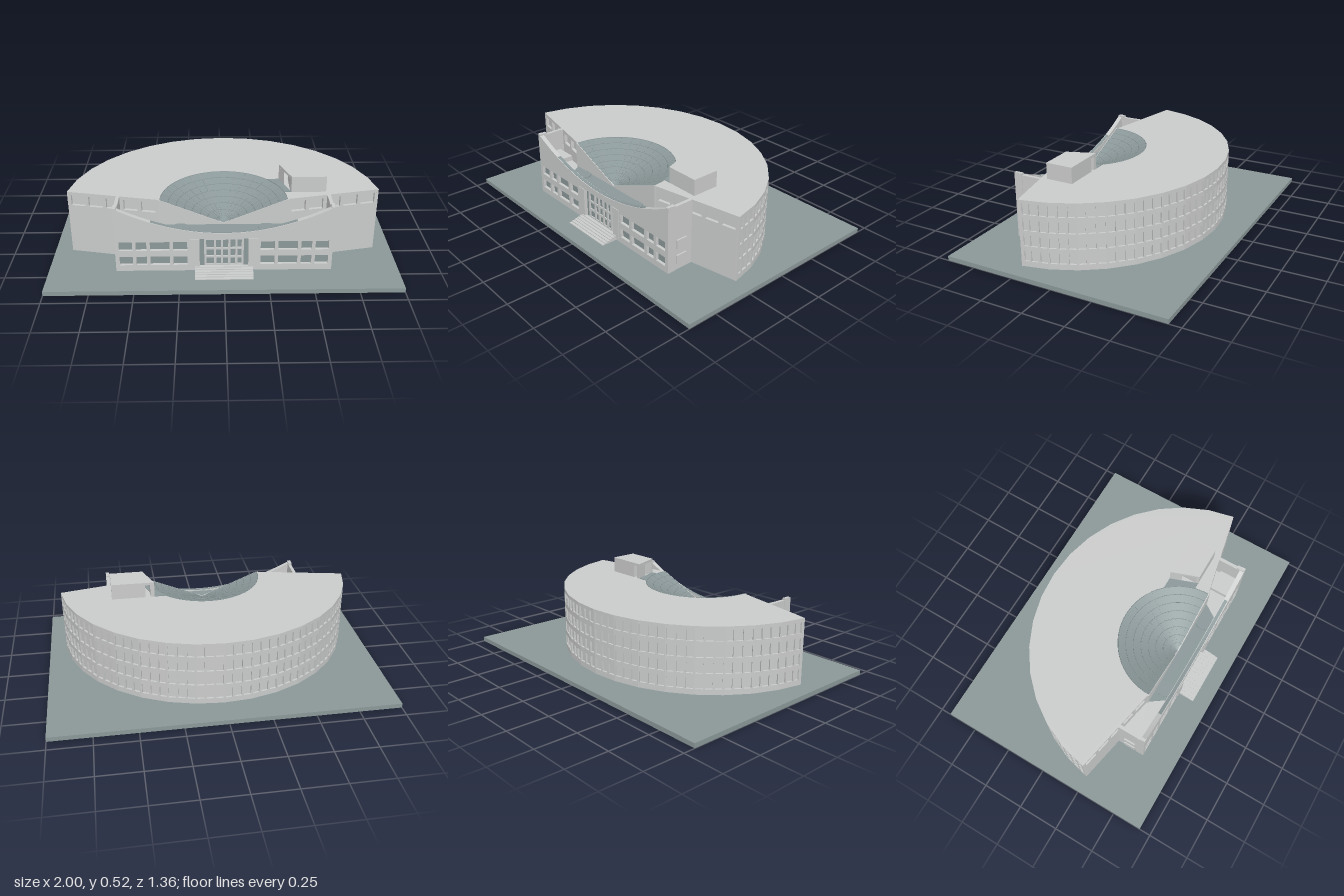
import * as THREE from 'three';

const wall = new THREE.MeshStandardMaterial({ color: 0xcacccb });
wall.name = 'pale concrete';
const glass = new THREE.MeshStandardMaterial({ color: 0x8b9899, side: THREE.DoubleSide });
glass.name = 'grey glass';
const ground = new THREE.MeshStandardMaterial({ color: 0x8b9898 });
ground.name = 'grey plinth';

const BASE = 0.027, ROOF = 0.42, CZ = 0.36, CONE_R = 0.36;

export function createModel() {
  const model = new THREE.Group();
  model.name = 'building';

  const add = (name, geo, mat, x = 0, y = 0, z = 0, parent = model) => {
    const m = new THREE.Mesh(geo, mat);
    m.name = name;
    m.position.set(x, y, z);
    parent.add(m);
    return m;
  };
  // box given by its limits
  const box = (name, mat, x0, x1, y0, y1, z0, z1) =>
    add(name, new THREE.BoxGeometry(x1 - x0, y1 - y0, z1 - z0), mat, (x0 + x1) / 2, (y0 + y1) / 2, (z0 + z1) / 2);
  const shapeOf = (pts) => new THREE.Shape(pts.map(([x, y]) => new THREE.Vector2(x, y)));
  const extrude = (shape, depth) => new THREE.ExtrudeGeometry(shape, { depth, bevelEnabled: false });
  // prism over a plan outline of [x, z] points
  const prism = (name, mat, plan, y0, y1) => {
    const geo = extrude(shapeOf(plan.map(([x, z]) => [x, -z])), y1 - y0);
    geo.rotateX(-Math.PI / 2);
    return add(name, geo, mat, 0, y0, 0);
  };
  const cutRect = (shape, x0, x1, y0, y1) => {
    const p = [[x0, y0], [x0, y1], [x1, y1], [x1, y0]];
    shape.holes.push(new THREE.Path(p.map(([x, y]) => new THREE.Vector2(x, y))));
  };
  // upright wall panel from plan point a to b with rectangular window openings
  const panel = (name, a, b, depth, windows) => {
    const dx = b[0] - a[0], dz = b[1] - a[1], len = Math.hypot(dx, dz);
    const s = shapeOf([[0, BASE], [len, BASE], [len, ROOF], [0, ROOF]]);
    windows(len).forEach((w) => cutRect(s, ...w));
    const geo = extrude(s, depth);
    geo.translate(0, 0, -depth);
    add(name, geo, wall, a[0], 0, a[1]).rotation.y = Math.atan2(-dz, dx);
  };

  box('plinth', ground, -1, 1, 0, BASE, -0.68, 0.68);

  // curved main block: solid core, 16 facets with window recesses
  const T0 = 0.127, N = 16;
  const arc = (inset) => Array.from({ length: N + 1 }, (_, i) => {
    const t = T0 + (Math.PI - 2 * T0) * i / N;
    return [(0.906 - inset) * Math.cos(t), CZ - (0.87 - inset) * Math.sin(t)];
  });
  const outer = arc(0), core = arc(0.012);
  core[0][1] -= 0.016;
  core[N][1] -= 0.016;
  for (let i = 0; i <= 32; i++) {
    const t = Math.PI - 0.056 - (Math.PI - 0.112) * i / 32;
    core.push([CONE_R * Math.cos(t), CZ - CONE_R * Math.sin(t)]);
  }
  prism('mainBlock', wall, core, BASE, ROOF);
  const floors = [[0.06, 0.123], [0.151, 0.214], [0.242, 0.306], [0.336, 0.399]];
  for (let i = 0; i < N; i++) {
    panel('curvedWall', outer[i], outer[i + 1], 0.014, (len) => floors.flatMap(([y0, y1]) =>
      [0, 1, 2].map((k) => [(k + 0.12) * len / 3, (k + 0.88) * len / 3, y0, y1])));
  }

  // slanted end walls with a top row of windows
  const endWindows = (len) => [0, 1, 2, 3, 4].map((k) =>
    [len * (0.04 + k * 0.19), len * (0.19 + k * 0.19), 0.336, 0.4]);
  panel('endWallRight', outer[N], [-CONE_R, CZ], 0.02, endWindows);
  panel('endWallLeft', [CONE_R, CZ], outer[0], 0.02, (len) =>
    endWindows(len).map(([a, b, c, d]) => [len - b, len - a, c, d]));

  // sunken half cone of glass with slim ribs
  const APEX = 0.272, rise = ROOF - APEX;
  const cone = new THREE.LatheGeometry([new THREE.Vector2(0.0001, 0), new THREE.Vector2(CONE_R, rise)],
    32, Math.PI / 2, Math.PI);
  add('glassCone', cone, glass, 0, APEX, CZ);
  const slope = Math.hypot(CONE_R, rise);
  for (let i = 0; i <= 16; i++) {
    const pivot = new THREE.Group();
    pivot.name = 'coneRib';
    pivot.position.set(0, APEX, CZ);
    pivot.rotation.set(0, Math.PI * i / 16, Math.atan2(rise, CONE_R), 'YXZ');
    model.add(pivot);
    add('rib', new THREE.BoxGeometry(slope * 0.9, 0.003, 0.003), glass, slope * 0.54, 0, 0, pivot);
  }
  for (let i = 1; i <= 8; i++) {
    const ring = new THREE.TorusGeometry(CONE_R * i / 8, 0.002, 4, 32, Math.PI);
    ring.rotateX(-Math.PI / 2);
    add('coneRing', ring, glass, 0, APEX + rise * i / 8, CZ);
  }
  // wall closing the space below the open edge of the cone
  add('coneFrontWall', extrude(shapeOf([[-0.37, BASE], [0.37, BASE], [0.37, ROOF], [CONE_R, ROOF],
    [0, APEX], [-CONE_R, ROOF], [-0.37, ROOF]]), 0.012), wall, 0, 0, CZ - 0.006);

  // front wing below the terrace
  prism('frontWing', wall, [[-0.6, 0.455], [0.6, 0.455], [0.6, 0.31], [0.36, 0.35], [-0.36, 0.35], [-0.6, 0.31]], BASE, 0.26);
  prism('terraceGlass', glass, [[-0.36, 0.366], [-0.3, 0.453], [0.3, 0.453], [0.36, 0.366]], 0.258, 0.264);
  for (const s of [-1, 1]) {
    const side = (name, x0, x1, ...r) => box(name, wall, Math.min(s * x0, s * x1), Math.max(s * x0, s * x1), ...r);
    side('terraceStep', 0.46, 0.592, 0.2, 0.29, 0.34, 0.455);
    side('wingSideWall', 0.592, 0.612, BASE, ROOF, 0.305, 0.455);
    side('cornerPost', 0.594, 0.615, BASE, 0.43, 0.43, 0.48);
    for (const y of [0.065, 0.16]) side('sideWindowFrame', 0.61, 0.621, y, y + 0.055, 0.35, 0.42);
    add('roofDrum', new THREE.CylinderGeometry(0.05, 0.05, 0.03, 24), glass, s * 0.245, 0.254, 0.41);
  }

  // front wall with sagging top edge
  const sag = (x) => 0.27 + 0.162 * (x / 0.615) ** 2;
  const curve = (half, off, n = 32) => Array.from({ length: n + 1 }, (_, i) => {
    const x = half - 2 * half * i / n;
    return [x, sag(x) + off];
  });
  const front = shapeOf([[-0.615, BASE], [0.615, BASE], ...curve(0.615, 0)]);
  const spans = [[0.207, 0.287], [0.307, 0.417], [0.437, 0.497], [0.517, 0.592]];
  for (const s of [-1, 1]) for (const [a, b] of spans) for (const y of [0.065, 0.16]) {
    cutRect(front, Math.min(s * a, s * b), Math.max(s * a, s * b), y, y + 0.056);
  }
  cutRect(front, -0.192, 0.192, 0.05, 0.235);
  add('frontWall', extrude(front, 0.028), wall, 0, 0, 0.452);
  box('frontGlazing', glass, -0.6, 0.6, 0.045, 0.24, 0.456, 0.462);
  add('parapetCoping', extrude(shapeOf([...curve(0.41, 0.002), ...curve(0.41, -0.004).reverse()]), 0.02), glass, 0, 0, 0.455);

  // entrance: pillars, mullions and transoms
  for (const s of [-1, 1]) box('entrancePillar', wall, s * 0.165 - 0.027, s * 0.165 + 0.027, 0.05, 0.235, 0.455, 0.484);
  for (const x of [-0.106, -0.05, -0.012, 0.03, 0.07, 0.106]) {
    box('mullion', wall, x - 0.006, x + 0.006, 0.05, 0.235, 0.458, 0.47);
  }
  for (const y of [0.057, 0.11, 0.165, 0.228]) box('transom', wall, -0.11, 0.11, y - 0.006, y + 0.006, 0.458, 0.469);

  // entrance steps
  for (let i = 0; i < 6; i++) {
    box('step', wall, -0.165, 0.165, BASE, 0.032 + i * 0.0046, 0.47, 0.58 - i * 0.018);
  }

  // rooftop house with a passage through its slanted corner
  prism('roofHouse', wall, [[0.385, 0.11], [0.385, 0.261], [0.39, 0.275], [0.59, 0.275], [0.59, 0.11]], ROOF, 0.5);
  prism('passageJamb', wall, [[0.33, 0.11], [0.355, 0.179], [0.355, 0.11]], ROOF, 0.5);
  prism('roofHouseTop', wall, [[0.33, 0.11], [0.39, 0.275], [0.59, 0.275], [0.59, 0.11]], 0.5, 0.516);
  prism('passageGlassFloor', glass, [[0.26, 0.11], [0.32, 0.195], [0.35, 0.275], [0.39, 0.275], [0.33, 0.11]], ROOF - 0.002, ROOF + 0.003);

  return model;
}
